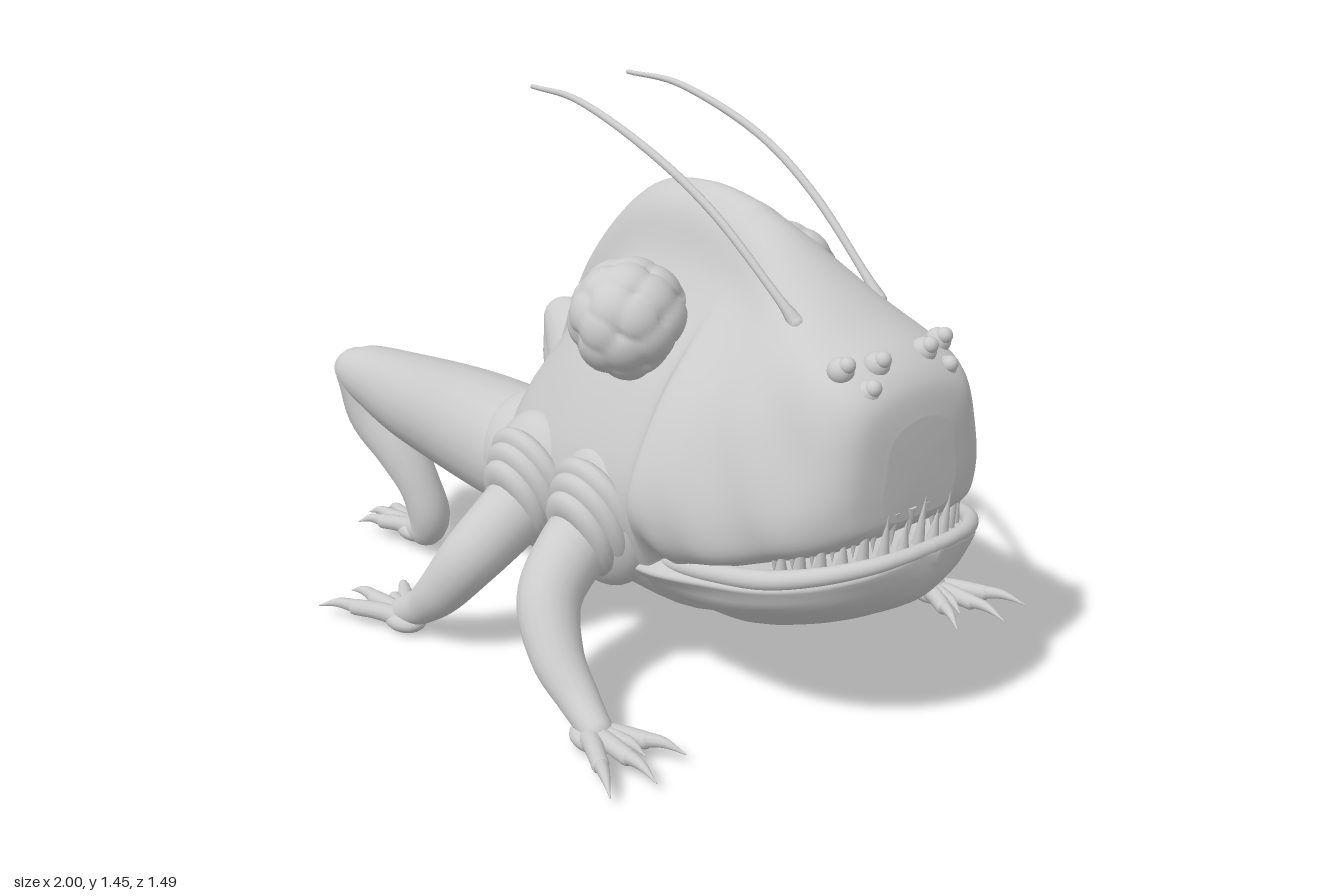
import * as THREE from 'three';

const V = (x, y, z) => new THREE.Vector3(x, y, z);
const skin = new THREE.MeshStandardMaterial({ color: 0xcccccc, roughness: 0.8 });

function add(parent, name, geometry, pos = [0, 0, 0], scale = [1, 1, 1]) {
  const mesh = new THREE.Mesh(geometry, skin);
  mesh.name = name;
  mesh.position.set(...pos);
  mesh.scale.set(...scale);
  parent.add(mesh);
  return mesh;
}

// Smooth interpolation of a list of numbers, u from 0 to 1
function smooth(list, u) {
  const t = u * (list.length - 1), i = Math.min(Math.floor(t), list.length - 2), f = t - i;
  const at = k => list[Math.max(0, Math.min(list.length - 1, k))];
  const a = at(i - 1), b = at(i), c = at(i + 1), d = at(i + 2);
  return b + 0.5 * f * (c - a + f * (2 * a - 5 * b + 4 * c - d + f * (3 * (b - c) + d - a)));
}

// Skin over cross-sections along x: [x, top, crestW, crestY, width, widthY, lowW, lowY, bottom];
// wrinkle(x, y) scales the width
function loft(stations, steps, wrinkle, ring = 72) {
  const pos = [], index = [];
  for (let i = 0; i <= steps; i++) {
    const [x, top, cw, cy, w, wy, lw, ly, bottom] =
      stations[0].map((_, k) => smooth(stations.map(s => s[k]), i / steps));
    const half = [[top - 0.25 * (top - cy), cw * 0.55], [cy, cw],
      [(cy + wy) / 2, cw + 0.68 * (w - cw)], [wy, w], [ly, lw]];
    const loop = [V(x, top, 0), ...half.map(([y, z]) => V(x, y, z)), V(x, bottom, 0),
      ...half.slice().reverse().map(([y, z]) => V(x, y, -z))];
    const curve = new THREE.CatmullRomCurve3(loop, true);
    for (let j = 0; j < ring; j++) {
      const p = curve.getPoint(j / ring);
      pos.push(p.x, p.y, p.z * wrinkle(p.x, p.y));
    }
  }
  for (let i = 0; i < steps; i++) for (let j = 0; j < ring; j++) {
    const k = (j + 1) % ring, a = i * ring + j, c = i * ring + k, b = a + ring, d = c + ring;
    index.push(a, c, b, c, d, b);
  }
  // End caps
  const s = stations[0], e = stations[stations.length - 1], n = pos.length / 3;
  pos.push(s[0], (s[1] + s[8]) / 2, 0, e[0] + 0.004, (e[1] + e[8]) / 2, 0);
  for (let j = 0; j < ring; j++) {
    const k = (j + 1) % ring, o = steps * ring;
    index.push(n, k, j, n + 1, o + j, o + k);
  }
  const g = new THREE.BufferGeometry();
  g.setAttribute('position', new THREE.Float32BufferAttribute(pos, 3));
  g.setIndex(index);
  g.computeVertexNormals();
  return g;
}

// Round limb through points [x, y, z, radius], with rounded ends
function limb(parent, name, pts, side = 1, steps = 32, sides = 20) {
  const group = new THREE.Group();
  group.name = name;
  parent.add(group);
  const curve = new THREE.CatmullRomCurve3(pts.map(p => V(p[0], p[1], p[2] * side)), false, 'catmullrom');
  curve.getUtoTmapping = u => u;
  const g = new THREE.TubeGeometry(curve, steps, 1, sides), p = g.attributes.position, v = V(0, 0, 0);
  for (let i = 0; i < p.count; i++) {
    const u = Math.floor(i / (sides + 1)) / steps, c = curve.getPoint(u);
    v.fromBufferAttribute(p, i).sub(c).multiplyScalar(smooth(pts.map(q => q[3]), u)).add(c);
    p.setXYZ(i, v.x, v.y, v.z);
  }
  add(group, name + 'Skin', g);
  for (const q of [pts[0], pts[pts.length - 1]])
    add(group, name + 'End', new THREE.SphereGeometry(q[3], sides, 12), [q[0], q[1], q[2] * side]);
}

// Foot with long clawed toes; dir is +1 forward, -1 back; toes are [angle, length]
function foot(parent, name, x, y, z, dir, side, toes) {
  const group = new THREE.Group();
  group.name = name;
  parent.add(group);
  add(group, 'palm', new THREE.SphereGeometry(1, 24, 16), [x + 0.025 * dir, y - 0.008, z * side], [0.07, 0.033, 0.052]);
  toes.forEach(([deg, len]) => {
    const a = deg * Math.PI / 180, dx = Math.cos(a) * dir, dz = Math.sin(a);
    const at = (f, h, r) => [x + dx * len * f, h, z + dz * len * f, r];
    limb(group, 'toe', [at(0.1, y, 0.028), at(0.35, y + 0.006, 0.024), at(0.6, y + 0.004, 0.022)], side, 8, 12);
    limb(group, 'claw', [at(0.58, y + 0.006, 0.019), at(0.8, y + 0.008, 0.013), at(1.02, y - 0.012, 0.002)], side, 8, 10);
  });
}

// Compound eye: a sphere swollen into rounded lobes
function lobedEye(radius) {
  const g = new THREE.SphereGeometry(1, 72, 48), p = g.attributes.position, v = V(0, 0, 0), seeds = [];
  for (let i = 0; i < 32; i++) {
    const y = 1 - 2 * (i + 0.5) / 32, r = Math.sqrt(1 - y * y), a = i * 2.39996;
    seeds.push(V(r * Math.cos(a), r * Math.sin(a), y));
  }
  for (let i = 0; i < p.count; i++) {
    v.fromBufferAttribute(p, i).normalize();
    const angle = Math.acos(Math.min(1, Math.max(...seeds.map(s => s.dot(v)))));
    v.multiplyScalar(radius * (0.88 + 0.12 * Math.sqrt(Math.max(0, 1 - (angle / 0.42) ** 2))));
    p.setXYZ(i, v.x, v.y, v.z);
  }
  g.computeVertexNormals();
  return g;
}

export function createModel() {
  const model = new THREE.Group();
  model.name = 'creature';

  // Humped body running into the upper head, with a step and wrinkles where the cheeks begin
  const cheekWrinkle = (x, y) => 1 + 0.018 * Math.sin(30 * x + 16 * y) *
    THREE.MathUtils.smoothstep(x, 0.42, 0.58) * (1 - THREE.MathUtils.smoothstep(y, 0.8, 1));
  add(model, 'body', loft([
    [-0.45, 0.56, 0.03, 0.54, 0.05, 0.5, 0.03, 0.46, 0.44],
    [-0.40, 0.64, 0.05, 0.58, 0.14, 0.5, 0.1, 0.4, 0.36],
    [-0.34, 0.79, 0.08, 0.66, 0.24, 0.5, 0.17, 0.34, 0.29],
    [-0.2, 1.04, 0.11, 0.85, 0.34, 0.5, 0.23, 0.28, 0.22],
    [0, 1.22, 0.12, 1.03, 0.39, 0.48, 0.25, 0.24, 0.15],
    [0.2, 1.262, 0.12, 1.07, 0.4, 0.5, 0.26, 0.24, 0.125],
    [0.36, 1.243, 0.13, 1.06, 0.405, 0.53, 0.29, 0.28, 0.14],
    [0.42, 1.222, 0.14, 1.05, 0.454, 0.57, 0.37, 0.43, 0.2],
    [0.5, 1.185, 0.16, 1.03, 0.442, 0.57, 0.395, 0.45, 0.32],
    [0.6, 1.125, 0.19, 1.0, 0.4, 0.57, 0.37, 0.465, 0.42],
    [0.75, 1.035, 0.21, 0.96, 0.338, 0.59, 0.31, 0.51, 0.48],
    [0.86, 0.98, 0.2, 0.92, 0.285, 0.62, 0.25, 0.55, 0.53],
    [0.92, 0.92, 0.17, 0.87, 0.215, 0.65, 0.195, 0.59, 0.57],
    [0.94, 0.84, 0.1, 0.8, 0.12, 0.66, 0.1, 0.61, 0.6]], 110, cheekWrinkle));

  // Broad scoop-shaped lower jaw with creases running along it
  add(model, 'lowerJaw', loft([
    [0.2, 0.36, 0.25, 0.36, 0.31, 0.32, 0.19, 0.2, 0.125],
    [0.4, 0.41, 0.32, 0.41, 0.365, 0.36, 0.225, 0.24, 0.15],
    [0.6, 0.43, 0.32, 0.44, 0.365, 0.40, 0.25, 0.28, 0.205],
    [0.75, 0.45, 0.305, 0.465, 0.345, 0.43, 0.24, 0.33, 0.265],
    [0.87, 0.48, 0.255, 0.495, 0.285, 0.46, 0.2, 0.38, 0.33],
    [0.95, 0.51, 0.17, 0.52, 0.195, 0.49, 0.13, 0.43, 0.385],
    [0.985, 0.525, 0.09, 0.53, 0.11, 0.51, 0.07, 0.47, 0.44],
    [0.996, 0.525, 0.02, 0.53, 0.03, 0.52, 0.02, 0.5, 0.49]], 56,
    (x, y) => 1 + 0.022 * Math.sin(75 * (y - 0.25 * x))));

  // Uneven teeth along both rims of the mouth
  for (let i = -7; i <= 7; i++) {
    const a = i * 0.18, c = Math.cos(a), s = Math.sin(a), h = [0.13, 0.08, 0.11][Math.abs(i) % 3];
    const lower = add(model, 'lowerTooth', new THREE.ConeGeometry(0.016, h, 10),
      [0.7 + 0.25 * c, 0.455 + 0.07 * c + h / 2, 0.3 * s]);
    lower.rotation.set(0.12 * s, 0, -0.15);
    const upper = add(model, 'upperTooth', new THREE.ConeGeometry(0.018, 0.09, 10),
      [0.67 + 0.26 * c, 0.48 + 0.1 * c, 0.29 * Math.sin(a + 0.09)]);
    upper.rotation.x = Math.PI;
  }

  const eye = lobedEye(0.155);
  for (const s of [1, -1]) {
    // Head details
    add(model, 'compoundEye', eye, [0.2, 0.955, 0.262 * s]);
    [[0.835, 0.97, 0.165], [0.865, 0.972, 0.08], [0.885, 0.92, 0.13]].forEach(([x, y, z]) => {
      add(model, 'smallEye', new THREE.SphereGeometry(0.02, 20, 14), [x + 0.014, y + 0.012, z * s]);
      add(model, 'smallEyeSocket', new THREE.SphereGeometry(0.032, 20, 14), [x - 0.006, y - 0.006, z * s]);
    });
    limb(model, 'antenna', [[0.66, 1.03, 0.14, 0.02], [0.6, 1.085, 0.148, 0.011], [0.4, 1.245, 0.165, 0.011],
      [0.18, 1.36, 0.178, 0.011], [-0.1, 1.44, 0.172, 0.009], [-0.31, 1.447, 0.163, 0.006]], s, 40, 10);
    // Rolled lip along the jaw, running in under the cheek
    limb(model, 'jawLip', [[0.36, 0.38, 0.31, 0.012], [0.48, 0.41, 0.343, 0.02], [0.62, 0.437, 0.342, 0.024],
      [0.76, 0.465, 0.322, 0.024], [0.87, 0.495, 0.265, 0.022], [0.945, 0.518, 0.175, 0.02],
      [0.975, 0.528, 0.08, 0.018], [0.98, 0.53, 0, 0.018]], s);

    // Two walking legs per side with soft shoulder folds
    for (const [x, d, name] of [[0.2, 1, 'frontLeg'], [-0.07, -1, 'middleLeg']]) {
      add(model, name + 'Shoulder', new THREE.SphereGeometry(1, 36, 24), [x, 0.455, 0.335 * s], [0.165, 0.195, 0.105]);
      [[0.11, 0.365, 0.455], [0.092, 0.395, 0.44], [0.07, 0.425, 0.42]].forEach(([r, z, y]) => {
        const fold = add(model, name + 'Fold', new THREE.TorusGeometry(r, 0.045, 16, 40), [x, y, z * s], [1, 1.12, 0.7]);
        fold.rotation.x = 0.35 * s;
      });
      limb(model, name, [[x, 0.44, 0.36, 0.1], [x, 0.38, 0.455, 0.092], [x + 0.03 * d, 0.29, 0.55, 0.082],
        [x + 0.11 * d, 0.18, 0.59, 0.067], [x + 0.2 * d, 0.1, 0.595, 0.052], [x + 0.28 * d, 0.052, 0.605, 0.042]], s);
      foot(model, name + 'Foot', x + 0.25 * d, 0.042, 0.61, d, s,
        [[-28, 0.25], [-14, 0.17], [3, 0.27], [28, 0.28]]);
    }

    // Long hind leg: hip, tapering thigh, shank and foot
    add(model, 'hip', new THREE.SphereGeometry(1, 32, 24), [-0.29, 0.44, 0.19 * s], [0.15, 0.17, 0.165]);
    limb(model, 'hindThigh', [[-0.24, 0.42, 0.19, 0.16], [-0.38, 0.43, 0.195, 0.168], [-0.54, 0.465, 0.245, 0.155],
      [-0.7, 0.51, 0.318, 0.127], [-0.82, 0.543, 0.362, 0.097], [-0.89, 0.553, 0.382, 0.074], [-0.922, 0.555, 0.388, 0.052]], s);
    limb(model, 'hindShank', [[-0.9, 0.555, 0.384, 0.065], [-0.845, 0.44, 0.362, 0.084], [-0.765, 0.335, 0.335, 0.074],
      [-0.71, 0.23, 0.31, 0.061], [-0.688, 0.14, 0.295, 0.061], [-0.72, 0.075, 0.285, 0.05], [-0.78, 0.06, 0.28, 0.037]], s);
    foot(model, 'hindFoot', -0.77, 0.055, 0.275, -1, s, [[-27, 0.22], [-8, 0.22], [8, 0.23], [27, 0.21]]);
  }
  return model;
}
